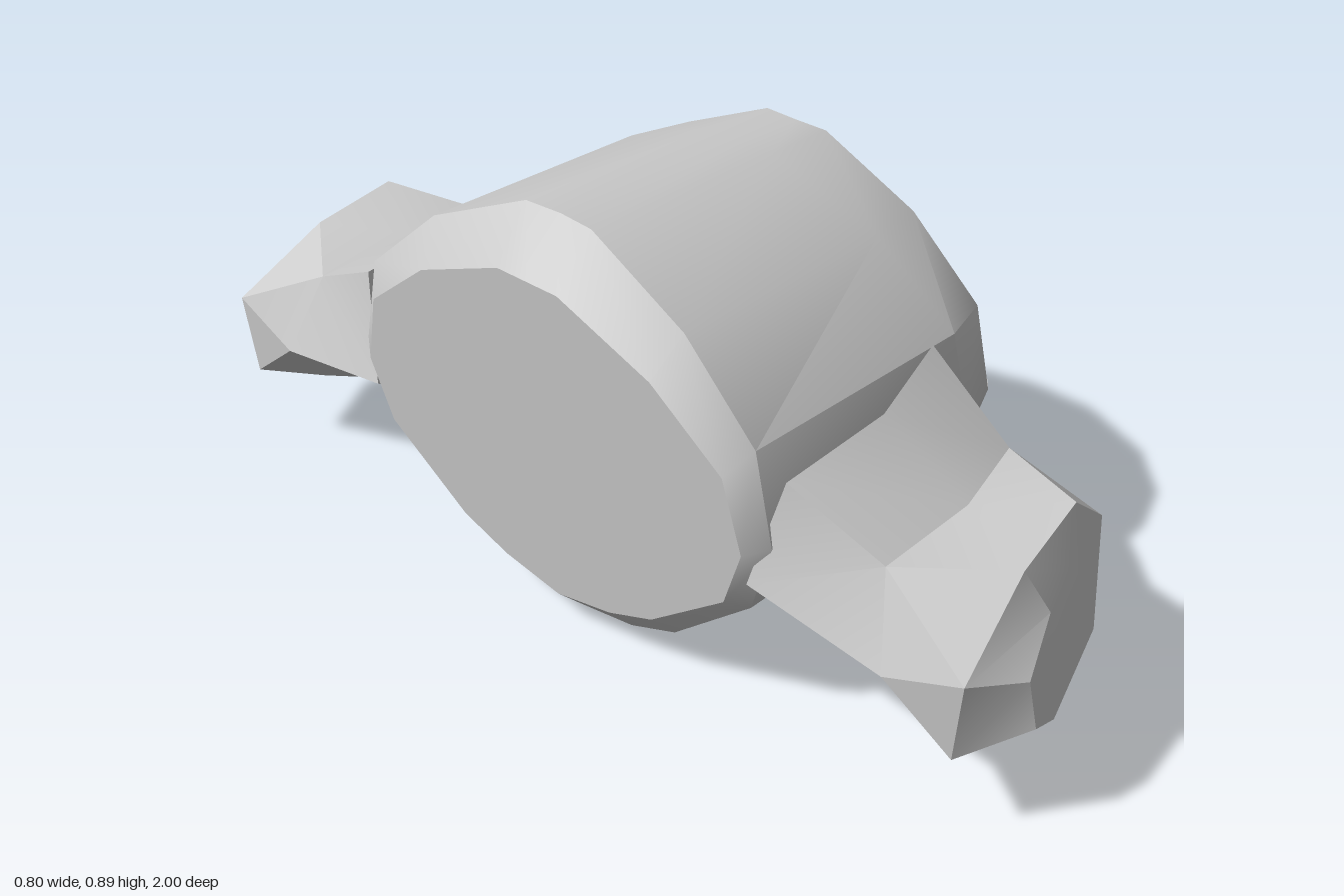
import * as THREE from 'three';
import { toCreasedNormals } from 'three/addons/utils/BufferGeometryUtils.js';

// Skin a list of equal-length rings and close both ends; flip reverses winding.
function loft(rings, crease, flip = false) {
  const n = rings[0].length;
  const pos = rings.flat(2);
  const index = [];
  const tri = (a, b, c) => (flip ? index.push(a, c, b) : index.push(a, b, c));
  for (let i = 0; i < rings.length - 1; i++) {
    for (let j = 0; j < n; j++) {
      const a = i * n + j, b = i * n + (j + 1) % n;
      tri(a, b, a + n);
      tri(b, b + n, a + n);
    }
  }
  for (const r of [0, rings.length - 1]) {
    const centre = pos.length / 3;
    for (let axis = 0; axis < 3; axis++) {
      pos.push(rings[r].reduce((sum, p) => sum + p[axis], 0) / n);
    }
    for (let j = 0; j < n; j++) {
      const a = r * n + j, b = r * n + (j + 1) % n;
      if (r === 0) tri(centre, b, a);
      else tri(centre, a, b);
    }
  }
  const g = new THREE.BufferGeometry();
  g.setAttribute('position', new THREE.Float32BufferAttribute(pos, 3));
  g.setIndex(index);
  return toCreasedNormals(g, crease);
}

// Fit a half profile of [z, y] between two heights, mirror it across z = 0 and
// place it along x, leaning from xBottom to xTop and bulging in x at the sides.
function section(profile, { xTop, xBottom, top, bottom, width, bulge }) {
  const high = profile[0][1];
  const low = profile.at(-1)[1];
  const half = profile.map(([z, y]) => {
    const t = (y - low) / (high - low);
    const x = xBottom + (xTop - xBottom) * t + bulge * z;
    return [x, bottom + (top - bottom) * t, z * width];
  });
  const other = half.slice(1, -1).reverse().map(([x, y, z]) => [x, y, -z]);
  return [...half, ...other];
}

// Half profiles, from top centre to bottom centre
const barrel = [[0, 0.89], [0.08, 0.89], [0.31, 0.78], [0.48, 0.62], [0.52, 0.43],
  [0.47, 0.27], [0.27, 0.09], [0.15, 0.035], [0, 0]];
const crest = [[0, 0.73], [0.17, 0.73], [0.33, 0.58], [0.38, 0.48], [0.47, 0.42],
  [0.32, 0.24], [0.19, 0.09], [0.15, 0.04], [0, 0.06]];
const lip = [[0, 0.725], [0.17, 0.725], [0.325, 0.575], [0.33, 0.46], [0.33, 0.37],
  [0.33, 0.27], [0.2, 0.225], [0.08, 0.19], [0, 0.22]];

// Neck and head of an arm, from the inner top edge round to the outer side
const armRoot = [[0.16, 0.6, 0.48], [-0.05, 0.575, 0.53], [-0.32, 0.57, 0.53], [-0.36, 0.35, 0.48],
  [-0.19, 0.26, 0.46], [0.16, 0.27, 0.46], [0.24, 0.43, 0.52]];
const armNeck = [[0.18, 0.44, 0.65], [-0.05, 0.47, 0.72], [-0.285, 0.47, 0.72], [-0.35, 0.3, 0.77],
  [-0.19, 0.2, 0.67], [0.17, 0.24, 0.64], [0.185, 0.34, 0.65]];
const armHead = [[0.04, 0.505, 0.88], [-0.14, 0.47, 0.9], [-0.34, 0.36, 0.93], [-0.33, 0.185, 0.91],
  [-0.19, 0.12, 0.87], [0.19, 0.19, 0.77], [0.19, 0.38, 0.85]];

export function createModel() {
  const group = new THREE.Group();
  const material = new THREE.MeshStandardMaterial({ color: 0xcccccc, side: THREE.DoubleSide });
  const add = (name, geometry) => {
    const mesh = new THREE.Mesh(geometry, material);
    mesh.name = name;
    group.add(mesh);
  };

  // Body: flat closed end, chamfer, barrel, rim, then a hollow bowl
  add('body', loft([
    section(barrel, { xTop: -0.4, xBottom: -0.35, top: 0.79, bottom: 0.07, width: 0.92, bulge: 0 }),
    section(barrel, { xTop: -0.31, xBottom: -0.29, top: 0.89, bottom: 0.01, width: 1, bulge: -0.08 }),
    section(barrel, { xTop: 0.16, xBottom: 0.16, top: 0.85, bottom: 0.003, width: 1, bulge: 0.14 }),
    section(barrel, { xTop: 0.34, xBottom: 0.36, top: 0.833, bottom: 0.005, width: 0.92, bulge: 0.02 }),
    section(crest, { xTop: 0.395, xBottom: 0.39, top: 0.73, bottom: 0.06, width: 1, bulge: -0.05 }),
    section(lip, { xTop: 0.33, xBottom: 0.29, top: 0.725, bottom: 0.22, width: 1, bulge: 0.18 }),
    section(lip, { xTop: 0.14, xBottom: 0.14, top: 0.62, bottom: 0.22, width: 0.78, bulge: 0 }),
  ], 0.62));

  // Side arms: flared root, narrow neck, wide faceted head, slanted blunt tip
  const armTip = armHead.map(([hx, hy]) => {
    const x = -0.08 + 0.55 * (hx + 0.08);
    const y = 0.29 + 0.55 * (hy - 0.29);
    return [x, y, 0.992 - 0.25 * x - 0.2 * y];
  });
  for (const side of [1, -1]) {
    const rings = [armRoot, armNeck, armHead, armTip]
      .map(ring => ring.map(([x, y, z]) => [x, y, z * side]));
    add(side > 0 ? 'frontArm' : 'backArm', loft(rings, 0.35, side < 0));
  }
  return group;
}
